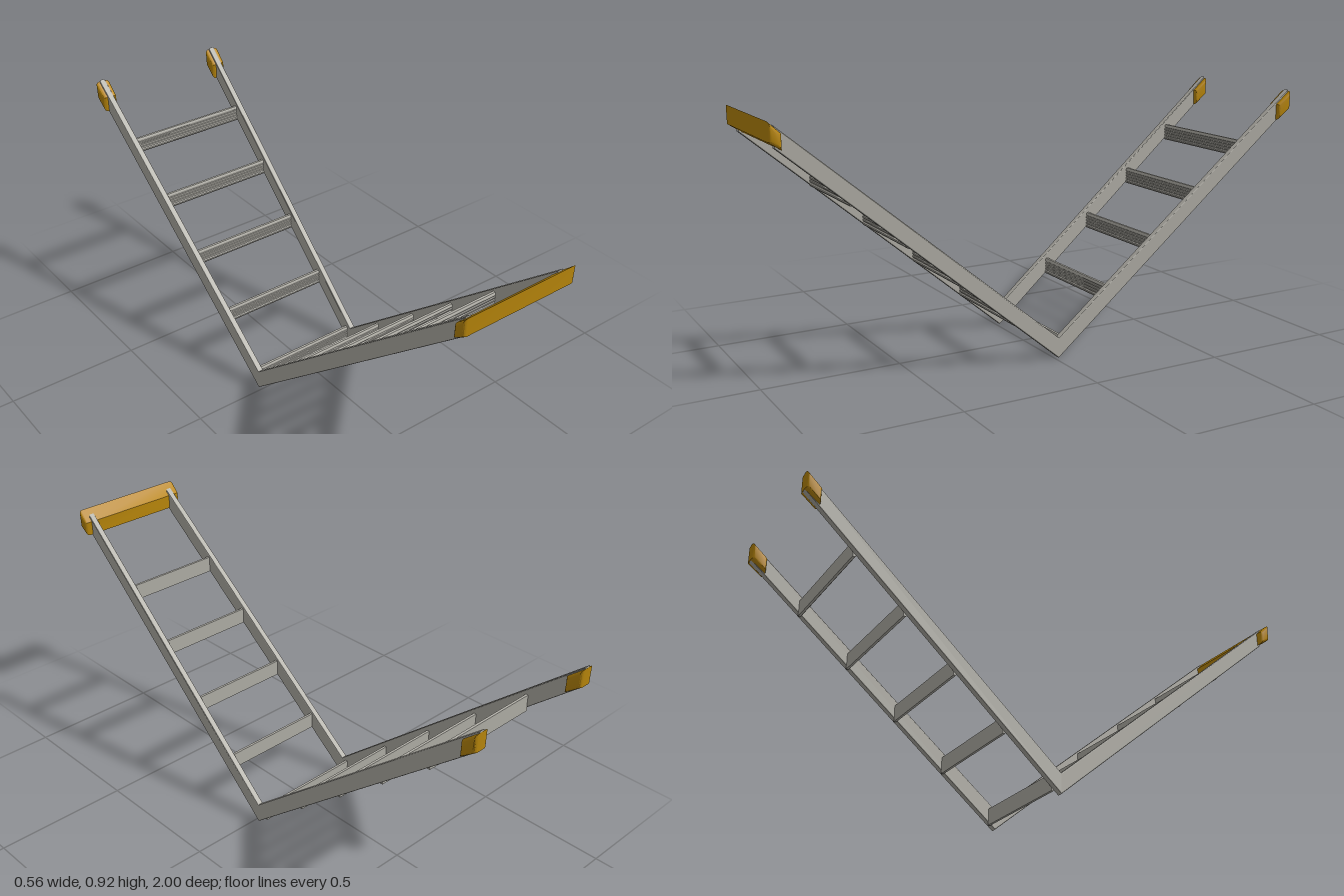
import * as THREE from 'three';
import { toCreasedNormals } from 'three/addons/utils/BufferGeometryUtils.js';

const HINGE_Z = -0.015, SLOPE = 0.838;
// Underside height of the V-shaped rails, and their taper from back to front
const railLow = (z) => 0.004 + SLOPE * Math.abs(z - HINGE_Z);
const railX = (z) => 0.2185 - 0.033 * z;
const RAIL_W = 0.023;

// Extrude a (z, y) outline across x, centred on x = 0, with bevelled ends
function across(points, width, bevel = 0, segments = 1) {
  const shape = new THREE.Shape(points.map(([z, y]) => new THREE.Vector2(z, y)));
  const geo = new THREE.ExtrudeGeometry(shape, {
    depth: width - 2 * bevel, bevelEnabled: bevel > 0, bevelSize: bevel,
    bevelThickness: bevel, bevelOffset: -bevel, bevelSegments: segments,
  });
  geo.translate(0, 0, -(width - 2 * bevel) / 2);
  geo.rotateY(-Math.PI / 2);
  return geo;
}

// Lean a geometry outwards along the taper of one side
function taper(geo, side) {
  const p = geo.attributes.position;
  for (let i = 0; i < p.count; i++) p.setX(i, p.getX(i) + side * railX(p.getZ(i)));
  geo.computeVertexNormals();
  return geo;
}

// Ribbed plank section: flat back, ridged front and a small nose at the bottom
function rungSection() {
  const pts = [[-0.006, 0], [-0.006, 0.061], [0.003, 0.061]];
  for (let i = 0; i < 4; i++) {
    const y = 0.055 - i * 0.011;
    pts.push([0.006, y], [0.006, y - 0.005], [0.003, y - 0.007], [0.003, y - 0.009]);
  }
  pts.push([0.007, 0.01], [0.007, 0.005], [0.003, 0]);
  return pts;
}

export function createModel() {
  const group = new THREE.Group();
  const metal = new THREE.MeshStandardMaterial({ color: 0xb0aea6 });
  metal.name = 'aluminium grey';
  const rubber = new THREE.MeshStandardMaterial({ color: 0xb8860b });
  rubber.name = 'dark yellow';
  const add = (geo, mat, name) => {
    const mesh = new THREE.Mesh(geo, mat);
    mesh.name = name;
    group.add(mesh);
    return mesh;
  };

  // Side rails: one continuous V each
  const H = 0.071;
  const vee = [
    [HINGE_Z, 0], [0.975, railLow(0.975)], [0.975, railLow(0.975) + H],
    [HINGE_Z, H + 0.004], [-0.999, railLow(-0.999) + H], [-0.999, railLow(-0.999)],
  ];
  // Rubber boots at the open back ends of the rails
  const boot = [[-1, 0.83], [-1, 0.894], [-0.945, 0.848], [-0.945, 0.79]];
  for (const side of [1, -1]) {
    const label = side > 0 ? 'left' : 'right';
    add(taper(across(vee, RAIL_W, 0.004, 2), side), metal, label + 'Rail');
    add(toCreasedNormals(taper(across(boot, 0.056, 0.012, 4), side), 0.6), rubber, label + 'Boot');
  }

  // Rungs, evenly spaced along both halves
  for (let i = 0; i < 9; i++) {
    const z = -0.805 + i * 0.192;
    const width = 2 * (railX(z) - RAIL_W / 2) + 0.006;
    const rung = add(across(rungSection(), width), metal, 'rung' + (i + 1));
    rung.position.set(0, railLow(z) - (z < 0 ? 0.01 : 0.003), z);
  }

  // Wide stabiliser foot across the front ends
  const foot = [[0.958, 0.83], [1, 0.857], [1, 0.921], [0.958, 0.882]];
  add(toCreasedNormals(across(foot, 0.45, 0.012, 4), 0.6), rubber, 'stabiliserFoot');

  return group;
}
